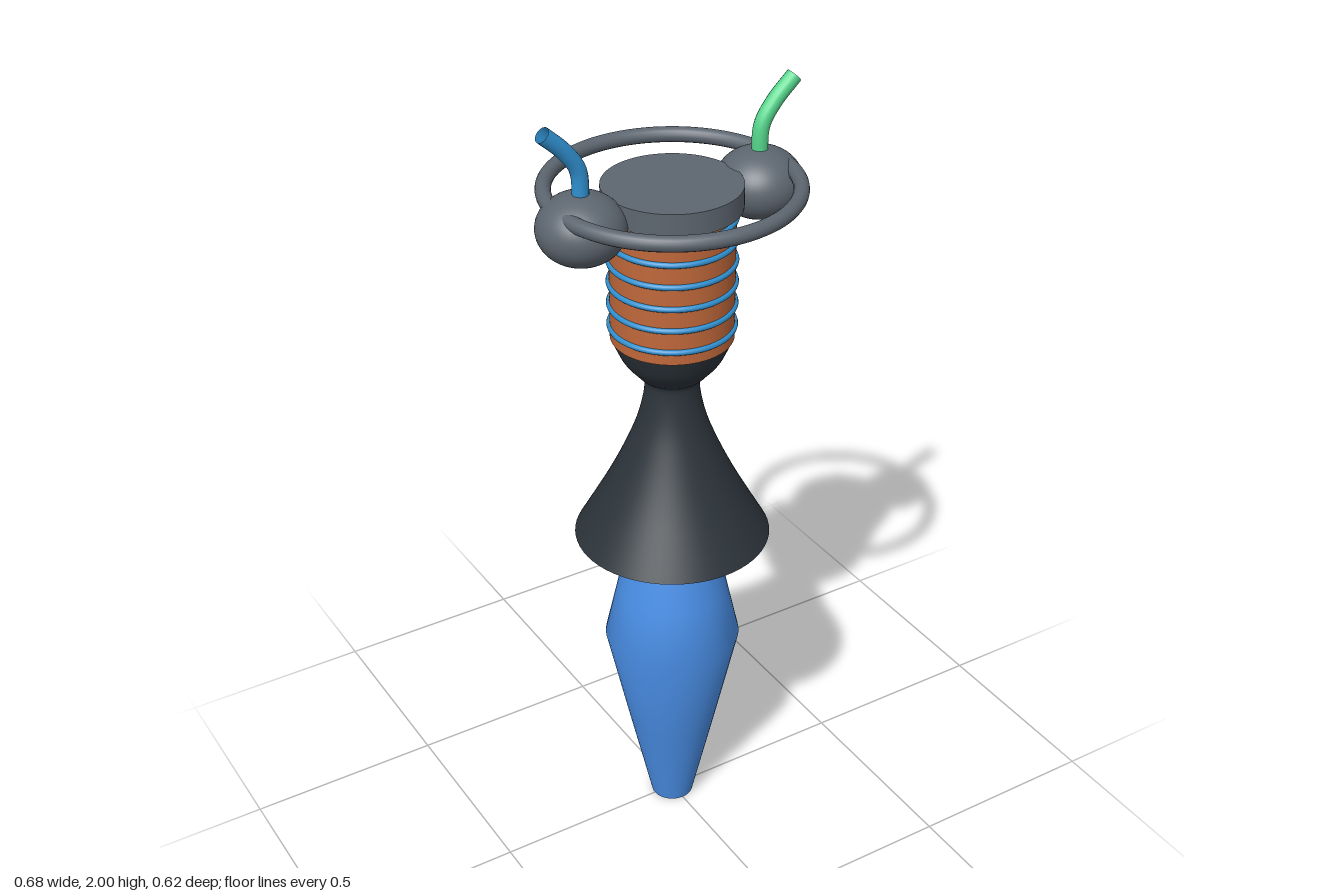
import * as THREE from 'three';

const V2 = (p) => new THREE.Vector2(p[0], p[1]);

export function createModel() {
  const model = new THREE.Group();
  const mat = (name, color, side = THREE.FrontSide) => {
    const m = new THREE.MeshStandardMaterial({ color, side });
    m.name = name;
    return m;
  };
  const steel = mat('steel grey', 0x5d6670);
  const dark = mat('dark metal', 0x2c343b, THREE.DoubleSide);
  const copper = mat('copper', 0xc0683a);
  const flameBlue = mat('flame blue', 0x4a8fe7, THREE.DoubleSide);
  const pipeBlue = mat('pipe blue', 0x3090d0, THREE.DoubleSide);
  const pipeGreen = mat('pipe green', 0x55d68c, THREE.DoubleSide);

  const add = (name, geometry, material, x = 0, y = 0, z = 0) => {
    const mesh = new THREE.Mesh(geometry, material);
    mesh.name = name;
    mesh.position.set(x, y, z);
    model.add(mesh);
    return mesh;
  };

  // Exhaust flame, open at its tip
  const flame = [[0.055, 0], [0.114, 0.27], [0.172, 0.54], [0.14, 0.685],
    [0.108, 0.83], [0.09, 0.865], [0.07, 0.885], [0, 0.89]];
  add('flame', new THREE.LatheGeometry(flame.map(V2), 48), flameBlue);

  // Bell nozzle, throat and converging section as one smooth shell
  const bell = new THREE.SplineCurve([[0.243, 0.858], [0.165, 1.0], [0.113, 1.11], [0.08, 1.2],
    [0.066, 1.285], [0.085, 1.312], [0.12, 1.355], [0.147, 1.415]].map(V2));
  add('nozzle', new THREE.LatheGeometry(bell.getPoints(42), 64), dark);

  // Combustion chamber with cooling rings
  add('chamber', new THREE.CylinderGeometry(0.147, 0.147, 0.345, 64), copper, 0, 1.5825);
  for (let i = 0; i < 6; i++) {
    add('coolingRing', new THREE.TorusGeometry(0.147, 0.0075, 10, 64), pipeBlue, 0, 1.443 + i * 0.0555)
      .rotation.x = Math.PI / 2;
  }

  // Injector cap and the ring manifold around it
  add('injectorCap', new THREE.CylinderGeometry(0.164, 0.164, 0.055, 64), steel, 0, 1.77);
  add('manifoldRing', new THREE.TorusGeometry(0.291, 0.0185, 16, 96), steel, 0, 1.79)
    .rotation.x = Math.PI / 2;

  // Turbopumps with their feed pipes
  for (const s of [-1, 1]) {
    add(s < 0 ? 'rightPump' : 'leftPump', new THREE.SphereGeometry(0.104, 40, 28), steel, s * 0.236, 1.745)
      .scale.y = 0.81;
    const path = new THREE.CatmullRomCurve3([[0.235, 1.8], [0.24, 1.885], [0.272, 1.935], [0.325, 1.986]]
      .map(([x, y]) => new THREE.Vector3(s * x, y, 0)));
    add(s < 0 ? 'rightFeedPipe' : 'leftFeedPipe', new THREE.TubeGeometry(path, 24, 0.0195, 16),
      s < 0 ? pipeBlue : pipeGreen);
  }
  return model;
}
